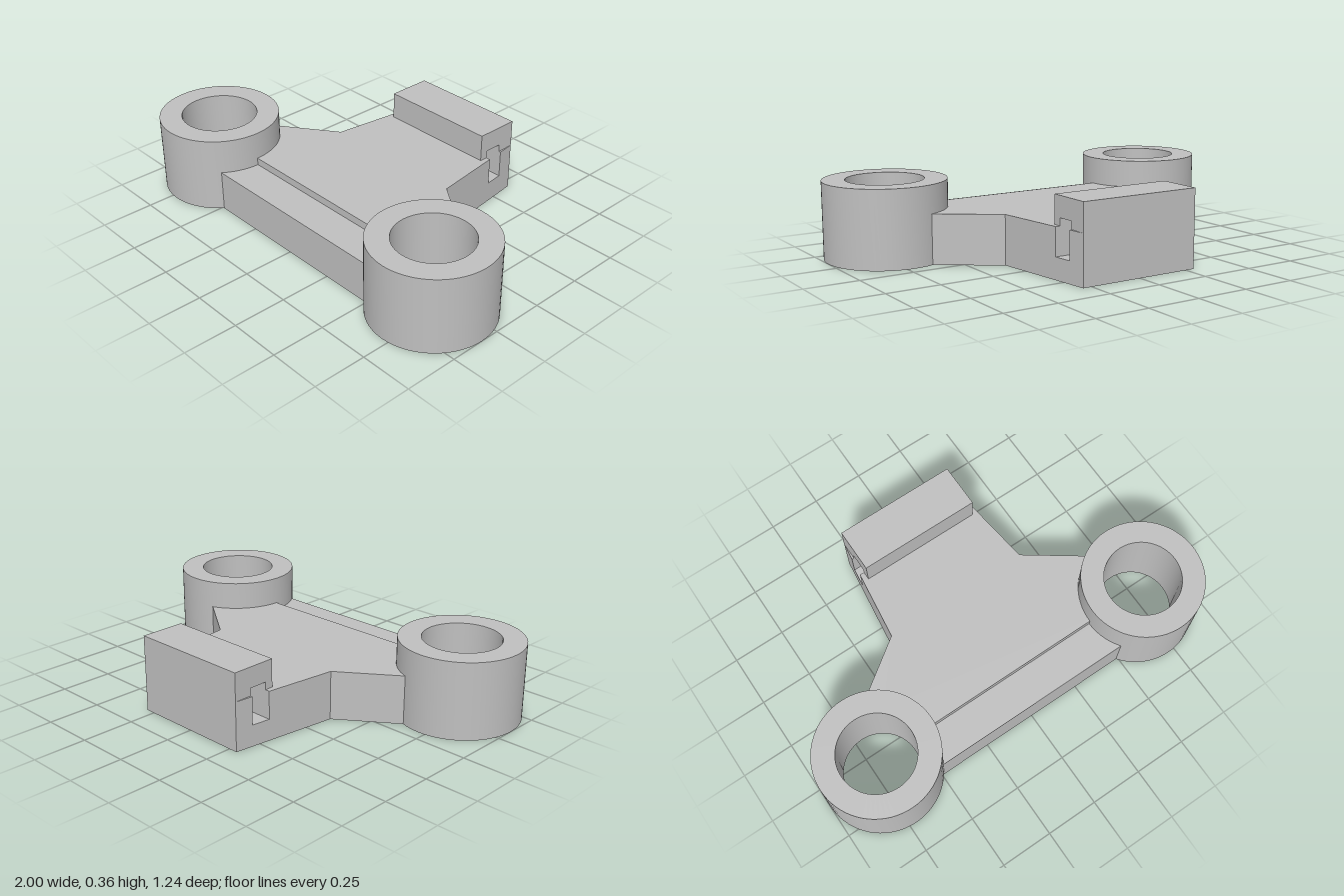
import * as THREE from 'three';
import { toCreasedNormals } from 'three/addons/utils/BufferGeometryUtils.js';

const RING = { x: 0.717, z: 0.338, outer: 0.283, inner: 0.178, height: 0.36 };
const SLOT = { front: -0.45, back: -0.537, bottom: 0.1, top: 0.265 };
const DECK = 0.23, STEP = 0.195, BACK = -0.622;

export function createModel() {
  const model = new THREE.Group();
  model.name = 'mountingBracket';
  const grey = new THREE.MeshStandardMaterial({ color: 0xbfbfbf });
  grey.name = 'grey';

  function add(name, geometry) {
    const mesh = new THREE.Mesh(geometry, grey);
    mesh.name = name;
    model.add(mesh);
    return mesh;
  }

  // Upright slab from the +x half of a plan outline [x, z], mirrored to -x
  function slab(name, half, y0, y1) {
    const mirrored = half.map(([x, z]) => [-x, z]).reverse();
    const shape = new THREE.Shape([...half, ...mirrored].map(([x, z]) => new THREE.Vector2(x, -z)));
    const geometry = new THREE.ExtrudeGeometry(shape, { depth: y1 - y0, bevelEnabled: false });
    geometry.rotateX(-Math.PI / 2).translate(0, y0, 0);
    return add(name, geometry);
  }

  // Plan points buried inside the ring wall, between two angles in degrees
  function ringArc(from, to, steps = 8) {
    return Array.from({ length: steps + 1 }, (_, i) => {
      const a = THREE.MathUtils.degToRad(from + (to - from) * i / steps);
      return [RING.x + 0.23 * Math.cos(a), RING.z + 0.23 * Math.sin(a)];
    });
  }

  // Half width of the tapering tongue at a given z
  const tongue = z => 0.293 + 0.064 * (z - BACK) / (-0.115 - BACK);
  const edge = z => [tongue(z), z];
  const wing = [[0.62, 0.072], [0.357, -0.115]];

  // Low step along the front
  slab('frontStep', [[0.49, 0.508], ...ringArc(143, 180)], 0, STEP);

  // Main plate: full floor, then the deck either side of the cross slot
  const plate = [...ringArc(180, 250), ...wing];
  slab('plateFloor', [...plate, edge(BACK)], 0, SLOT.bottom);
  slab('plateDeck', [...plate, edge(SLOT.front)], SLOT.bottom, DECK);
  slab('plateBack', [edge(SLOT.back), edge(BACK)], SLOT.bottom, DECK);

  // Raised rear block bridging the slot
  const bar = (front, back) => [[0.293, front], [0.293, back]];
  slab('blockFrontWall', bar(-0.41, SLOT.front), DECK, SLOT.top);
  slab('blockBackWall', bar(SLOT.back, BACK), DECK, SLOT.top);
  slab('blockCap', bar(-0.41, BACK), SLOT.top, 0.36);

  // Bored ring bosses
  const { inner, outer, height } = RING;
  const profile = [[inner, 0], [outer, 0], [outer, height], [inner, height], [inner, 0]]
    .map(([r, y]) => new THREE.Vector2(r, y));
  const ring = toCreasedNormals(new THREE.LatheGeometry(profile, 72), 0.6);
  for (const [side, name] of [[1, 'leftRing'], [-1, 'rightRing']]) {
    add(name, ring).position.set(side * RING.x, 0, RING.z);
  }
  return model;
}
